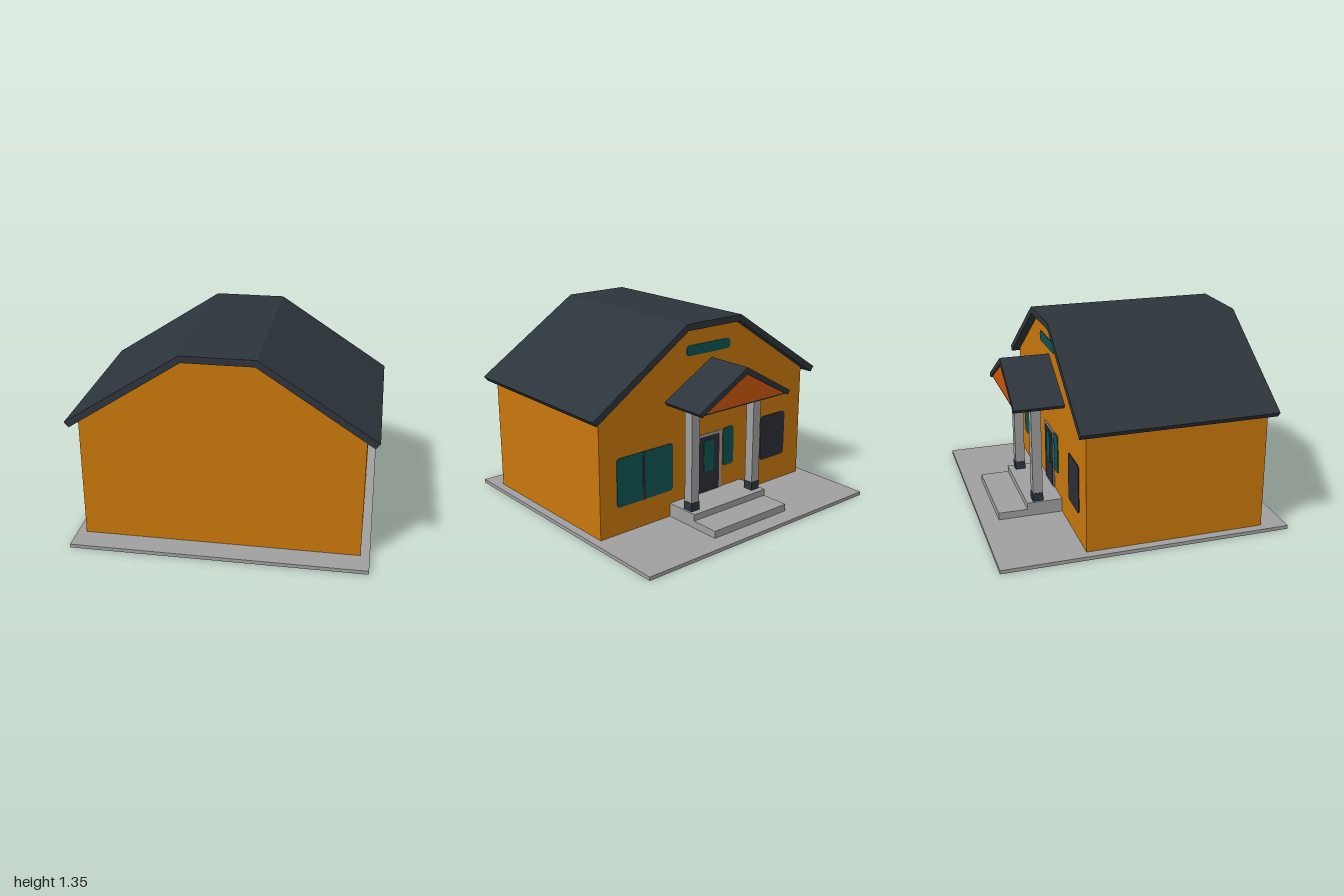
import * as THREE from 'three';

const mat = (name, color) => Object.assign(new THREE.MeshStandardMaterial({ color }), { name });

export function createModel() {
  const house = new THREE.Group();
  house.name = 'house';

  const wallOrange = mat('wall orange', 0xc9770c);
  const gableOrange = mat('gable orange', 0xcb560c);
  const roofSlate = mat('roof slate', 0x2d353c);
  const stone = mat('stone grey', 0xa0a0a0);
  const glassTeal = mat('glass teal', 0x0e5453);
  const darkPanel = mat('dark panel', 0x2b2e37);

  const add = (name, geometry, material) => {
    const mesh = new THREE.Mesh(geometry, material);
    mesh.name = name;
    house.add(mesh);
    return mesh;
  };

  // Box given by its limits on each axis
  const box = (name, material, x0, x1, y0, y1, z0, z1) =>
    add(name, new THREE.BoxGeometry(x1 - x0, y1 - y0, z1 - z0), material)
      .position.set((x0 + x1) / 2, (y0 + y1) / 2, (z0 + z1) / 2);

  // Outline in x and y, extruded from z0 to z1
  const prism = (name, material, points, z0, z1) => {
    const shape = new THREE.Shape(points.map(([x, y]) => new THREE.Vector2(x, y)));
    const geometry = new THREE.ExtrudeGeometry(shape, { depth: z1 - z0, bevelEnabled: false });
    add(name, geometry, material).position.z = z0;
  };

  // Thin rounded plate on the entrance wall; out is its stand-off from the wall
  const WALL = -0.41;
  const plate = (name, material, x0, x1, y0, y1, r, out = 0.006) => {
    const s = new THREE.Shape();
    s.moveTo(x0 + r, y0);
    s.lineTo(x1 - r, y0);
    s.quadraticCurveTo(x1, y0, x1, y0 + r);
    s.lineTo(x1, y1 - r);
    s.quadraticCurveTo(x1, y1, x1 - r, y1);
    s.lineTo(x0 + r, y1);
    s.quadraticCurveTo(x0, y1, x0, y1 - r);
    s.lineTo(x0, y0 + r);
    s.quadraticCurveTo(x0, y0, x0 + r, y0);
    const geometry = new THREE.ExtrudeGeometry(s, { depth: 0.006, bevelEnabled: false, curveSegments: 5 });
    add(name, geometry, material).position.z = WALL - out;
  };

  // Ground slab and walls
  box('groundSlab', stone, -0.98, 0.98, 0, 0.025, -0.98, 0.98);
  prism('walls', wallOrange, [
    [-0.92, 0.025], [0.92, 0.025], [0.92, 0.85], [0.235, 1.305], [-0.235, 1.305], [-0.92, 0.85],
  ], WALL, 0.81);

  // Main roof with a flat crown
  prism('mainRoof', roofSlate, [
    [-1, 0.855], [-0.97, 0.82], [-0.23, 1.305], [0.23, 1.305], [0.97, 0.82],
    [1, 0.855], [0.24, 1.35], [-0.24, 1.35],
  ], -0.465, 0.855);

  // Entrance steps
  box('upperStep', stone, -0.32, 0.34, 0.025, 0.12, -0.655, WALL);
  box('lowerStep', stone, -0.32, 0.34, 0.025, 0.075, -0.855, -0.655);

  // Porch posts with dark feet
  for (const x of [-0.27, 0.29]) {
    box('porchPost', stone, x - 0.034, x + 0.034, 0.18, 0.835, -0.609, -0.541);
    box('porchPostFoot', roofSlate, x - 0.036, x + 0.036, 0.12, 0.18, -0.611, -0.539);
  }

  // Porch roof, ceiling and gable
  const ridge = -0.025;
  prism('porchRoof', roofSlate, [
    [ridge - 0.412, 0.845], [ridge - 0.39, 0.82], [ridge, 1.035], [ridge + 0.39, 0.82],
    [ridge + 0.412, 0.845], [ridge, 1.08],
  ], -0.75, WALL);
  box('porchCeiling', roofSlate, ridge - 0.37, ridge + 0.37, 0.824, 0.834, -0.735, WALL);
  prism('porchGable', gableOrange, [
    [ridge - 0.365, 0.834], [ridge + 0.365, 0.834], [ridge, 1.036],
  ], -0.738, -0.73);

  // Door with its frame and glass
  plate('doorFrame', stone, -0.125, 0.12, 0.12, 0.545, 0.005);
  plate('door', darkPanel, -0.1, 0.095, 0.12, 0.525, 0.005, 0.01);
  plate('doorGlass', glassTeal, -0.045, 0.045, 0.27, 0.5, 0.02, 0.014);
  plate('sideLight', glassTeal, -0.24, -0.14, 0.27, 0.55, 0.025);

  // Wall windows
  plate('wideWindow', glassTeal, 0.32, 0.785, 0.215, 0.55, 0.025);
  plate('wideWindowBar', darkPanel, 0.555, 0.575, 0.215, 0.55, 0.002, 0.009);
  plate('smallWindow', darkPanel, -0.76, -0.515, 0.215, 0.55, 0.03);
  plate('atticWindow', glassTeal, -0.19, 0.2, 1.12, 1.19, 0.03);

  return house;
}
